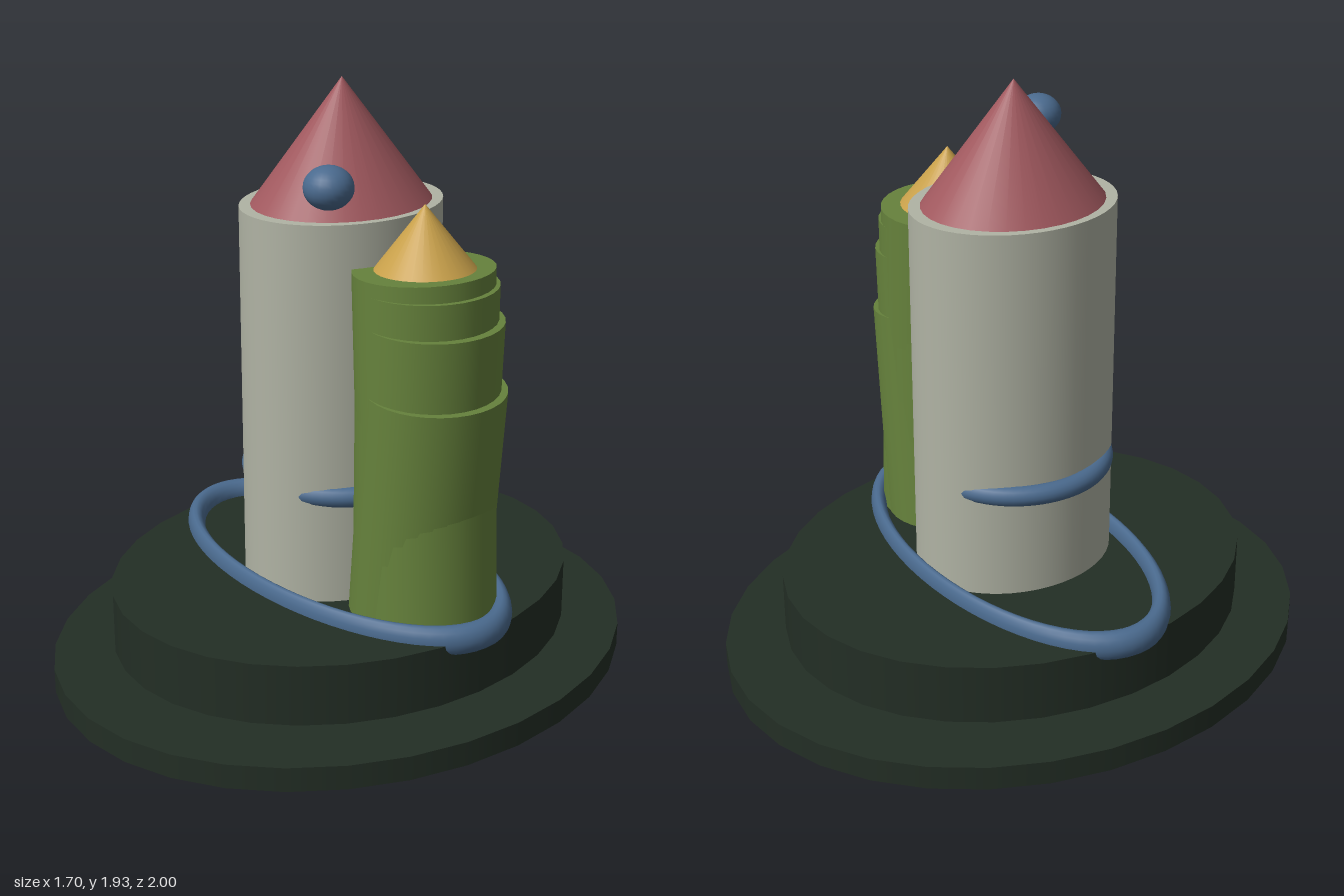
import * as THREE from 'three';

const mat = (name, color) => {
  const m = new THREE.MeshStandardMaterial({ color });
  m.name = name;
  return m;
};

export function createModel() {
  const model = new THREE.Group();
  model.name = 'towerModel';

  const dark = mat('darkGreen', 0x232e25);
  const stone = mat('paleStone', 0xb0b3a4);
  const moss = mat('mossGreen', 0x66823c);
  const red = mat('dustyRed', 0xa0585e);
  const gold = mat('gold', 0xc8a04a);
  const blue = mat('slateBlue', 0x4a6a8e);

  function add(name, geometry, material, x = 0, y = 0, z = 0) {
    const mesh = new THREE.Mesh(geometry, material);
    mesh.name = name;
    mesh.position.set(x, y, z);
    model.add(mesh);
    return mesh;
  }

  // Elliptical drum and cone between two heights
  const drum = (name, material, rx, rz, y0, y1, seg = 32) =>
    add(name, new THREE.CylinderGeometry(1, 1, y1 - y0, seg).scale(rx, 1, rz), material, 0, (y0 + y1) / 2);
  const cone = (name, material, rx, rz, y0, y1, x = 0) =>
    add(name, new THREE.ConeGeometry(1, y1 - y0, 32).scale(rx, 1, rz), material, x, (y0 + y1) / 2);

  // Two floating base slabs
  drum('lowerBase', dark, 0.85, 1, 0, 0.08);
  drum('upperBase', dark, 0.675, 0.795, 0.11, 0.31);

  // Main tower and its roof
  drum('mainTower', stone, 0.28, 0.34, 0.3, 1.545, 48);
  cone('mainRoof', red, 0.255, 0.3, 1.545, 1.93);

  // Side tower: overlapping shells that lean by different amounts [bottom x, top x, top y, rz]
  const shells = [
    [0.383, 0.447, 1.05, 0.232],
    [0.39, 0.431, 1.265, 0.226],
    [0.395, 0.406, 1.37, 0.224],
    [0.432, 0.386, 1.413, 0.225],
  ];
  const bottomY = 0.3;
  shells.forEach(([x0, x1, y1, rz], i) => {
    const height = Math.hypot(x1 - x0, y1 - bottomY);
    const shell = add(`sideTowerShell${i + 1}`,
      new THREE.CylinderGeometry(1, 1, height, 32).scale(0.205, 1, rz),
      moss, (x0 + x1) / 2, (bottomY + y1) / 2);
    shell.rotation.z = -Math.atan2(x1 - x0, y1 - bottomY);
  });
  const sideRoof = cone('sideRoof', gold, 0.157, 0.157, 1.41, 1.61, 0.389);
  sideRoof.rotation.z = 0.03;

  // Wide oval ring around the foot, and a round ring part-sunk in the main tower
  const ring = (name, r, sx, sy, sz, y) =>
    add(name, new THREE.TorusGeometry(1, r, 16, 64).rotateX(Math.PI / 2).scale(sx, sy, sz), blue, 0, y);
  ring('footRing', 0.06, 0.677, 0.8, 0.346, 0.312);
  ring('towerRing', 0.11, 0.295, 0.3, 0.293, 0.668);

  // Floating orb
  add('orb', new THREE.SphereGeometry(1, 24, 16).scale(0.075, 0.065, 0.075), blue, 0.3, 1.69, 0.295);

  return model;
}
